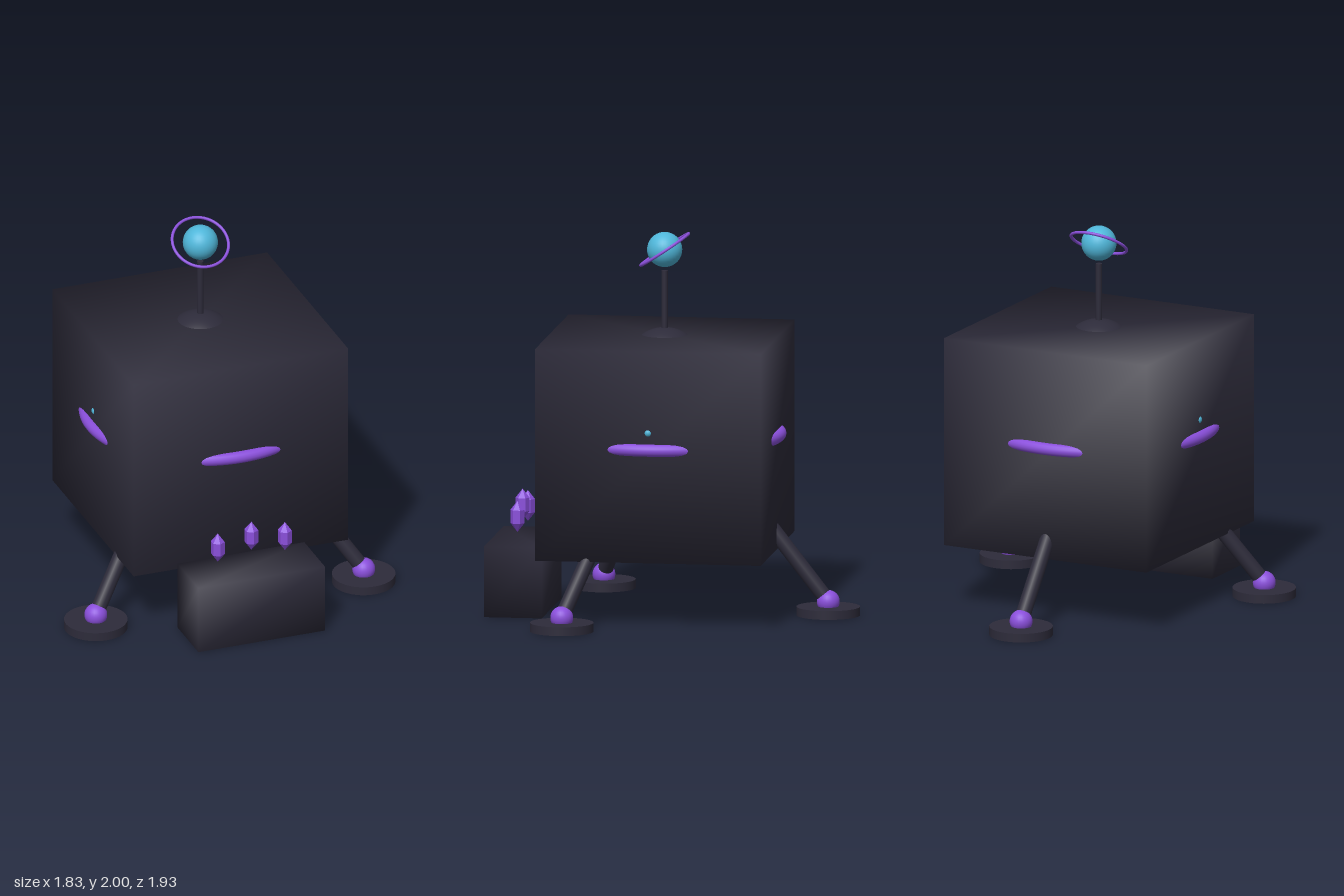
import * as THREE from 'three';
import { mergeVertices } from 'three/addons/utils/BufferGeometryUtils.js';

const CZ = 0.065; // z of the cabin's central axis

export function createModel() {
  const root = new THREE.Group();
  const material = (name, color) => {
    const m = new THREE.MeshStandardMaterial({ color });
    m.name = name;
    return m;
  };
  const hull = material('dark hull', 0x2d2b3a);
  const purple = material('purple', 0x8a4fdb);
  const teal = material('teal', 0x4fb6d9);

  const add = (name, geometry, mat, x, y, z) => {
    const mesh = new THREE.Mesh(geometry, mat);
    mesh.name = name;
    mesh.position.set(x, y, z);
    root.add(mesh);
    return mesh;
  };

  // Box whose corners share one normal, giving soft gradients over the faces
  const softBox = (w, h, d) => {
    let g = new THREE.BoxGeometry(w, h, d);
    g.deleteAttribute('uv');
    g.deleteAttribute('normal');
    g = mergeVertices(g);
    g.computeVertexNormals();
    return g;
  };

  // Cabin, entry step and the belt that breaks through each wall
  add('cabin', softBox(1.196, 1.115, 1.19), hull, 0, 0.9025, CZ);
  add('entryStep', softBox(0.706, 0.372, 0.305), hull, 0, 0.189, 0.8125);
  add('beltRing', new THREE.TorusGeometry(0.603, 0.032, 16, 96), purple, 0, 0.94, CZ)
    .rotation.x = Math.PI / 2;

  // Small lamps on the two side walls
  for (const s of [-1, 1]) {
    add('sideLamp', new THREE.SphereGeometry(0.022, 14, 10), teal, s * 0.584, 1.03, CZ);
  }

  // Antenna: dome, mast, and ringed ball
  add('antennaDome', new THREE.SphereGeometry(0.21, 32, 12, 0, Math.PI * 2, 0, 0.7),
    hull, 0, 1.287, CZ);
  add('antennaMast', new THREE.CylinderGeometry(0.017, 0.017, 0.34, 16), hull, 0, 1.628, CZ);
  add('antennaBall', new THREE.SphereGeometry(0.092, 32, 20), teal, 0, 1.908, CZ);
  add('antennaRing', new THREE.TorusGeometry(0.15, 0.008, 10, 64), purple, 0, 1.908, CZ)
    .rotation.x = -0.98;

  // Three splayed legs with ankle balls and round feet
  const up = new THREE.Vector3(0, 1, 0);
  for (const angle of [Math.PI / 6, Math.PI * 5 / 6, Math.PI * 3 / 2]) {
    const at = (r, y) => new THREE.Vector3(r * Math.cos(angle), y, CZ + r * Math.sin(angle));
    const ankle = at(0.862, 0.072);
    const hip = at(0.45, 0.6);
    const mid = ankle.clone().add(hip).multiplyScalar(0.5);
    const leg = add('leg', new THREE.CylinderGeometry(0.04, 0.04, ankle.distanceTo(hip), 20),
      hull, mid.x, mid.y, mid.z);
    leg.quaternion.setFromUnitVectors(up, hip.clone().sub(ankle).normalize());
    add('ankleBall', new THREE.SphereGeometry(0.06, 24, 16), purple, ankle.x, ankle.y, ankle.z);
    add('foot', new THREE.CylinderGeometry(0.166, 0.166, 0.046, 40), hull, ankle.x, 0.023, ankle.z);
  }

  // Faceted crystals hovering over the step
  const profile = [[0, -0.082], [0.037, -0.035], [0.037, 0.035], [0, 0.082]]
    .map(([x, y]) => new THREE.Vector2(x, y));
  const crystal = new THREE.LatheGeometry(profile, 6).toNonIndexed();
  crystal.computeVertexNormals();
  for (const i of [-1, 0, 1]) {
    add('crystal', crystal, purple, i * 0.187, i ? 0.512 : 0.548, 0.813);
  }

  return root;
}
